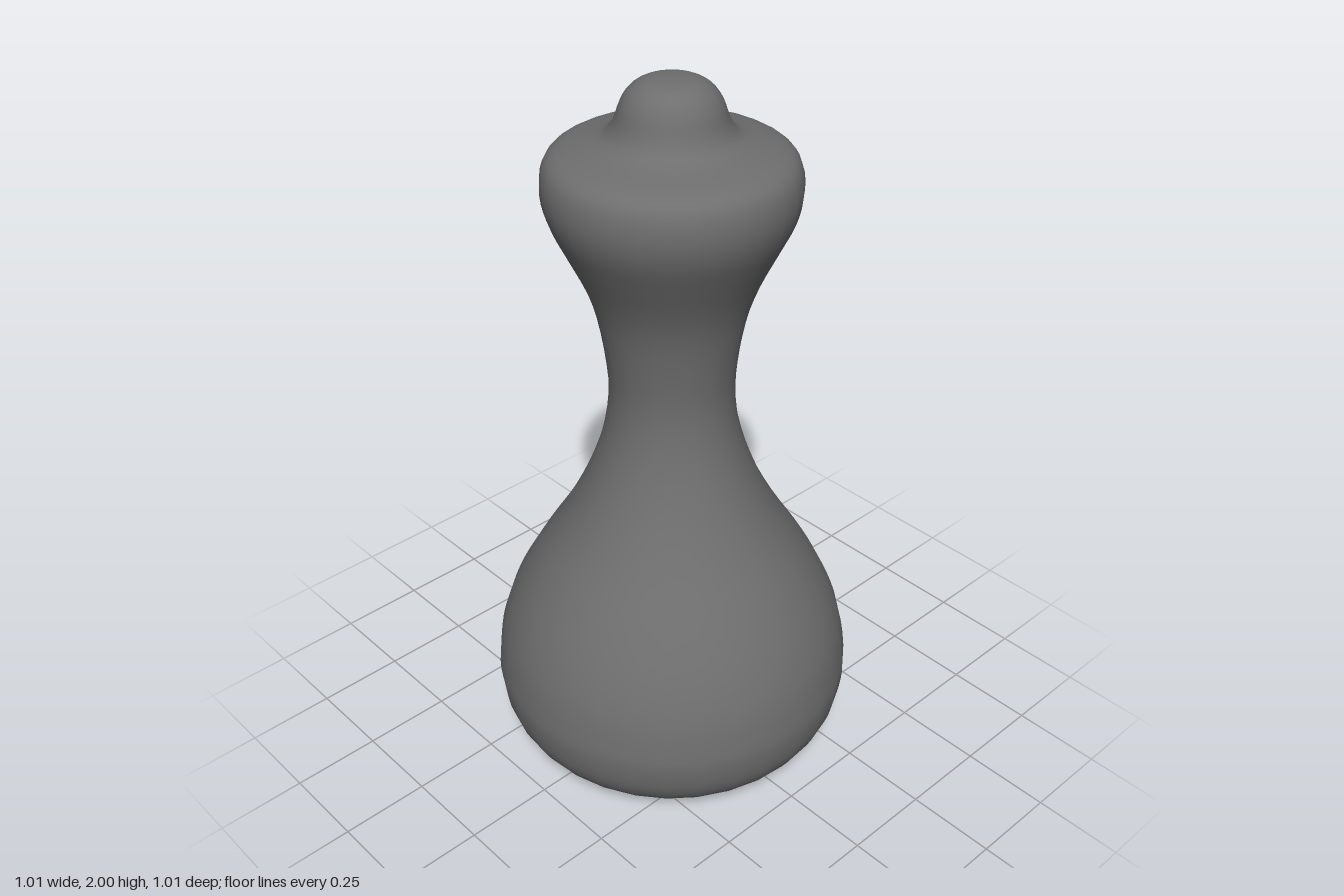
import * as THREE from 'three';

// Turned silhouette as [radius, height], from the underside to the tip
const PROFILE = [
  // flat underside and rounded foot
  [0, 0], [0.15, 0], [0.28, 0.003], [0.36, 0.02], [0.44, 0.068], [0.488, 0.14],
  // bulging base
  [0.505, 0.225], [0.503, 0.29], [0.485, 0.39], [0.443, 0.5], [0.38, 0.615], [0.302, 0.74],
  // waist
  [0.236, 0.87], [0.19, 1.0], [0.169, 1.12], [0.172, 1.23], [0.194, 1.37],
  // flared head
  [0.226, 1.47], [0.273, 1.57], [0.31, 1.65], [0.325, 1.72], [0.316, 1.785], [0.28, 1.819],
  // knob
  [0.2, 1.843], [0.163, 1.862], [0.141, 1.895], [0.125, 1.94], [0.1, 1.975], [0.06, 1.995], [0, 2],
];

export function createModel() {
  const group = new THREE.Group();
  group.name = 'pawn';

  // One smooth body of revolution with 32 sides
  const curve = new THREE.SplineCurve(PROFILE.map(([r, y]) => new THREE.Vector2(r, y)));
  const points = curve.getPoints((PROFILE.length - 1) * 3);
  points.forEach((p) => p.set(Math.max(p.x, 0), THREE.MathUtils.clamp(p.y, 0, 2)));

  const body = new THREE.Mesh(
    new THREE.LatheGeometry(points, 32),
    new THREE.MeshStandardMaterial({ color: 0x6e6e6e }),
  );
  body.name = 'turnedBody';
  group.add(body);
  return group;
}
